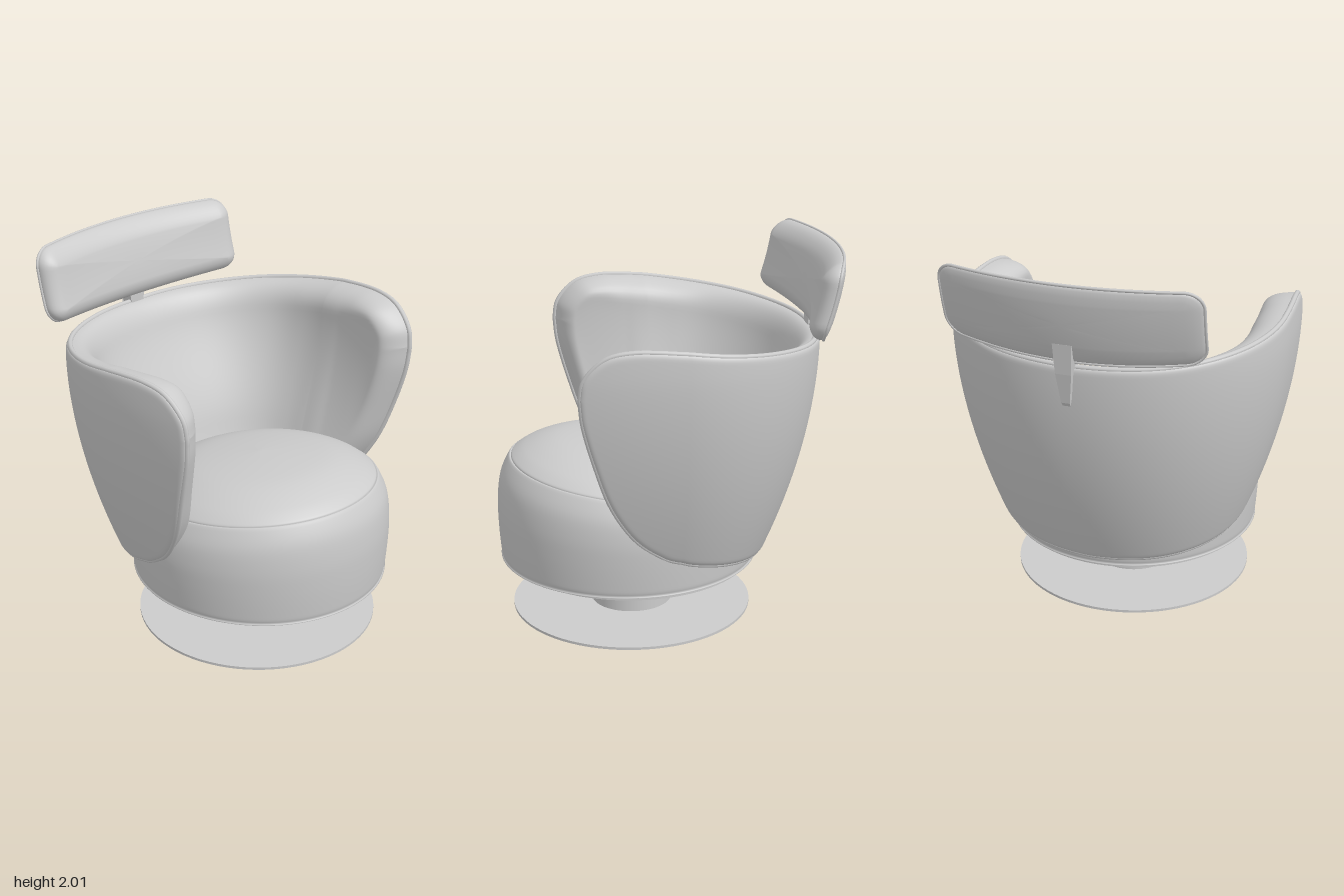
import * as THREE from 'three';
import { mergeVertices } from 'three/addons/utils/BufferGeometryUtils.js';

const AXIS_Z = 0.185; // z of the swivel axis
const RAD = Math.PI / 180;
const V3 = (x, y, z) => new THREE.Vector3(x, y, z);
const { lerp, smoothstep, clamp } = THREE.MathUtils;

// weld the seams and smooth the normals
function weld(geometry) {
  geometry.deleteAttribute('uv');
  geometry.deleteAttribute('normal');
  const g = mergeVertices(geometry, 1e-5);
  g.computeVertexNormals();
  return g;
}

// surface from rows of points: fn(column, row) -> Vector3
function grid(cols, rows, fn) {
  const pos = [], index = [];
  for (let j = 0; j <= rows; j++) {
    for (let i = 0; i <= cols; i++) pos.push(...fn(i, j).toArray());
  }
  for (let j = 0; j < rows; j++) {
    for (let i = 0; i < cols; i++) {
      const a = j * (cols + 1) + i, b = a + 1, c = b + cols + 1, d = c - 1;
      index.push(a, b, c, a, c, d);
    }
  }
  const g = new THREE.BufferGeometry();
  g.setAttribute('position', new THREE.Float32BufferAttribute(pos, 3));
  g.setIndex(index);
  return weld(g);
}

function pipe(points, radius) {
  const path = new THREE.CatmullRomCurve3(points, true);
  return new THREE.TubeGeometry(path, 400, radius, 8, true);
}

// ---- wrap-around shell ----
// plan angle (0 = back centre), lower and upper edge heights, padding thickness low and high
const EDGES = [
  [0, 0.36, 1.55, 0.26, 0.08], [30, 0.38, 1.562, 0.255, 0.09], [56, 0.415, 1.59, 0.245, 0.12],
  [75, 0.45, 1.617, 0.24, 0.16], [90, 0.488, 1.643, 0.23, 0.18], [96, 0.555, 1.654, 0.2, 0.18],
  [101, 0.665, 1.655, 0.175, 0.175], [105.7, 0.85, 1.635, 0.15, 0.165], [109, 1.07, 1.585, 0.14, 0.15],
  [111.5, 1.28, 1.51, 0.13, 0.13], [112.2, 1.42, 1.42, 0.12, 0.12],
];
const spline = (a, b) => new THREE.CatmullRomCurve3(
  EDGES.map((e) => V3(e[0] * RAD, e[a], e[b])), false, 'catmullrom');
const edgeCurve = spline(1, 2), thickCurve = spline(3, 4);

// point on the shell, moved inward by off
function shellPoint(angle, y, off) {
  const a = Math.abs(angle), side = Math.sign(angle);
  const width = 0.905 - 0.209 * Math.abs(1.5 - y) ** 1.77;
  const back = 0.81 - 0.197 * Math.max(0, 1.56 - y) ** 1.9;
  const depth = a < Math.PI / 2 ? back : 1.4;
  const n = new THREE.Vector2(Math.sin(a) / width, -Math.cos(a) / depth).normalize();
  const x = width * Math.sin(a) ** 0.92 - n.x * off;
  return V3(side * x, y, -depth * Math.cos(a) - n.y * off);
}

function buildShell(add) {
  const COLS = 240, ROWS = 44;
  const columns = [];
  for (let i = 0; i <= COLS; i++) {
    const u = (2 * i) / COLS - 1;
    const e = edgeCurve.getPoint(Math.abs(u)), t = thickCurve.getPoint(Math.abs(u));
    columns.push({ angle: Math.sign(u) * e.x, low: e.y, high: e.z, thickLow: t.y, thickHigh: t.z });
  }
  const rim = (off) => [
    ...columns.map((c) => shellPoint(c.angle, c.low, off)),
    ...columns.slice(1, -1).reverse().map((c) => shellPoint(c.angle, c.high, off)),
  ];
  const points = rim(0);
  const border = points.map((p, i) => new THREE.Line3(p, points[(i + 1) % points.length]));

  // roundness: 0 on the rim, 1 beyond the given radius from it
  const nearest = V3();
  const round = (p, radius) => {
    let d2 = Infinity;
    for (const line of border) {
      d2 = Math.min(d2, line.closestPointToPoint(p, true, nearest).distanceToSquared(p));
    }
    const t = 1 - Math.min(1, Math.sqrt(d2) / radius);
    return (1 - t ** 2.2) ** (1 / 2.2);
  };
  const surface = (flip, offset) => grid(COLS, ROWS, (i, j) => {
    const c = columns[flip ? COLS - i : i];
    const y = lerp(c.low, c.high, 0.5 - 0.5 * Math.cos((Math.PI * j) / ROWS));
    return shellPoint(c.angle, y, offset(c, y, shellPoint(c.angle, y, 0)));
  });

  add('backShell', surface(true, (c, y, p) => 0.015 * (1 - round(p, 0.03))));

  // padding grows thicker towards the seat and is rounded tighter at the arm fronts
  add('innerPadding', surface(false, (c, y, p) => {
    const thick = lerp(c.thickLow, c.thickHigh, smoothstep(y, 0.85, 1.62));
    return 0.028 + thick * round(p, lerp(0.13, 0.075, smoothstep(p.z, 0.1, 0.4)));
  }));
  add('shellPiping', pipe(rim(0.022).filter((_, i) => i % 2 === 0), 0.014));
}

// ---- headrest ----
const HW = 0.675, HH = 0.208, HR = 0.095;

function buildHeadrest(add) {
  const s = new THREE.Shape();
  const w = HW - HR, h = HH - HR;
  s.absarc(w, h, HR, 0, Math.PI / 2);
  s.absarc(-w, h, HR, Math.PI / 2, Math.PI);
  s.absarc(-w, -h, HR, Math.PI, 1.5 * Math.PI);
  s.absarc(w, -h, HR, 1.5 * Math.PI, 2 * Math.PI);
  s.closePath();
  const N = 140, outline = s.getSpacedPoints(N);

  // inset the outline, then bend and lean it
  const place = (q, inset, scale, z) => {
    const cx = clamp(q.x, -w, w), cy = clamp(q.y, -h, h), k = 1 - inset / HR;
    const x = (cx + (q.x - cx) * k) * scale, y = (cy + (q.y - cy) * k) * scale;
    const lift = 0.08 * x * x * (0.5 - y / (2 * HH));
    return V3(x, 1.792 + y + lift, -0.82 - 0.22 * y + 0.3 * y * y + z + 0.26 * x * x);
  };
  // [inset, scale, depth] from the back centre to the front centre
  const steps = [0, 0.15, 0.3, 0.45, 0.6, 0.75, 0.9];
  const rings = [
    ...steps.map((k) => [0.085, k, -0.062]),
    [0.085, 1, -0.062], [0.05, 1, -0.06], [0.02, 1, -0.056], [0.005, 1, -0.048], [0, 1, -0.038],
    [0.002, 1, -0.025], [0.007, 1, -0.01], [0.016, 1, 0.006], [0.03, 1, 0.022], [0.048, 1, 0.037],
    [0.066, 1, 0.048], [0.085, 1, 0.056],
    ...steps.map((k) => [0.085, k, 0.056 + 0.012 * (1 - k * k)]).reverse(),
  ];
  add('headrest', grid(N, rings.length - 1, (i, j) => place(outline[i % N], ...rings[j])));
  add('headrestPiping', pipe(outline.slice(0, N).map((q) => place(q, 0, 1, -0.045)), 0.008));

  // tapered bracket joining headrest and shell
  const side = new THREE.Shape([
    [0.77, 1.45], [0.812, 1.35], [0.825, 1.37], [0.85, 1.53], [0.863, 1.69], [0.79, 1.66], [0.77, 1.6],
  ].map((p) => new THREE.Vector2(...p)));
  const g = new THREE.ExtrudeGeometry(side, { depth: 0.1, bevelEnabled: false });
  g.translate(0, 0, -0.05).rotateY(Math.PI / 2);
  const p = g.attributes.position;
  for (let i = 0; i < p.count; i++) {
    p.setX(i, p.getX(i) * lerp(0.4, 1, clamp((p.getY(i) - 1.35) / 0.25, 0, 1)));
  }
  g.computeVertexNormals();
  add('headrestBracket', g);
}

// ---- seat ----
// lathe whose upper part slopes down to the back
function seatPart(profile) {
  const pts = new THREE.SplineCurve(profile.map((p) => new THREE.Vector2(...p))).getPoints(40);
  pts.forEach((q) => { q.x = Math.max(0, q.x); });
  const g = new THREE.LatheGeometry(pts, 96);
  const p = g.attributes.position;
  for (let i = 0; i < p.count; i++) {
    const y = p.getY(i), z = p.getZ(i);
    p.setY(i, y + 0.11 * (z - 0.64) * smoothstep(y, 0.4, 0.86));
  }
  g.scale(0.98, 1, 1).translate(0, 0, 0.2);
  return weld(g);
}

export function createModel() {
  const group = new THREE.Group();
  const material = new THREE.MeshStandardMaterial({ color: 0xcccccc, side: THREE.DoubleSide });
  const add = (name, geometry) => {
    const mesh = new THREE.Mesh(geometry, material);
    mesh.name = name;
    group.add(mesh);
  };
  const disc = (name, radius, y0, y1) => add(name,
    new THREE.CylinderGeometry(radius, radius, y1 - y0, 80).translate(0, (y0 + y1) / 2, AXIS_Z));

  // swivel base
  disc('basePlate', 0.655, 0, 0.014);
  disc('column', 0.22, 0.014, 0.285);
  disc('seatPlate', 0.655, 0.282, 0.302);

  // seat drum and domed cushion, meeting in a shallow groove
  add('seatBody', seatPart([[0.02, 0.302], [0.35, 0.302], [0.668, 0.302], [0.694, 0.318], [0.702, 0.37],
    [0.71, 0.5], [0.71, 0.63], [0.692, 0.76], [0.648, 0.86], [0.632, 0.868]]));
  add('seatCushion', seatPart([[0.632, 0.868], [0.622, 0.884], [0.56, 0.928], [0.46, 0.975],
    [0.35, 1.005], [0.18, 1.025], [0, 1.035]]));

  buildShell(add);
  buildHeadrest(add);
  return group;
}
